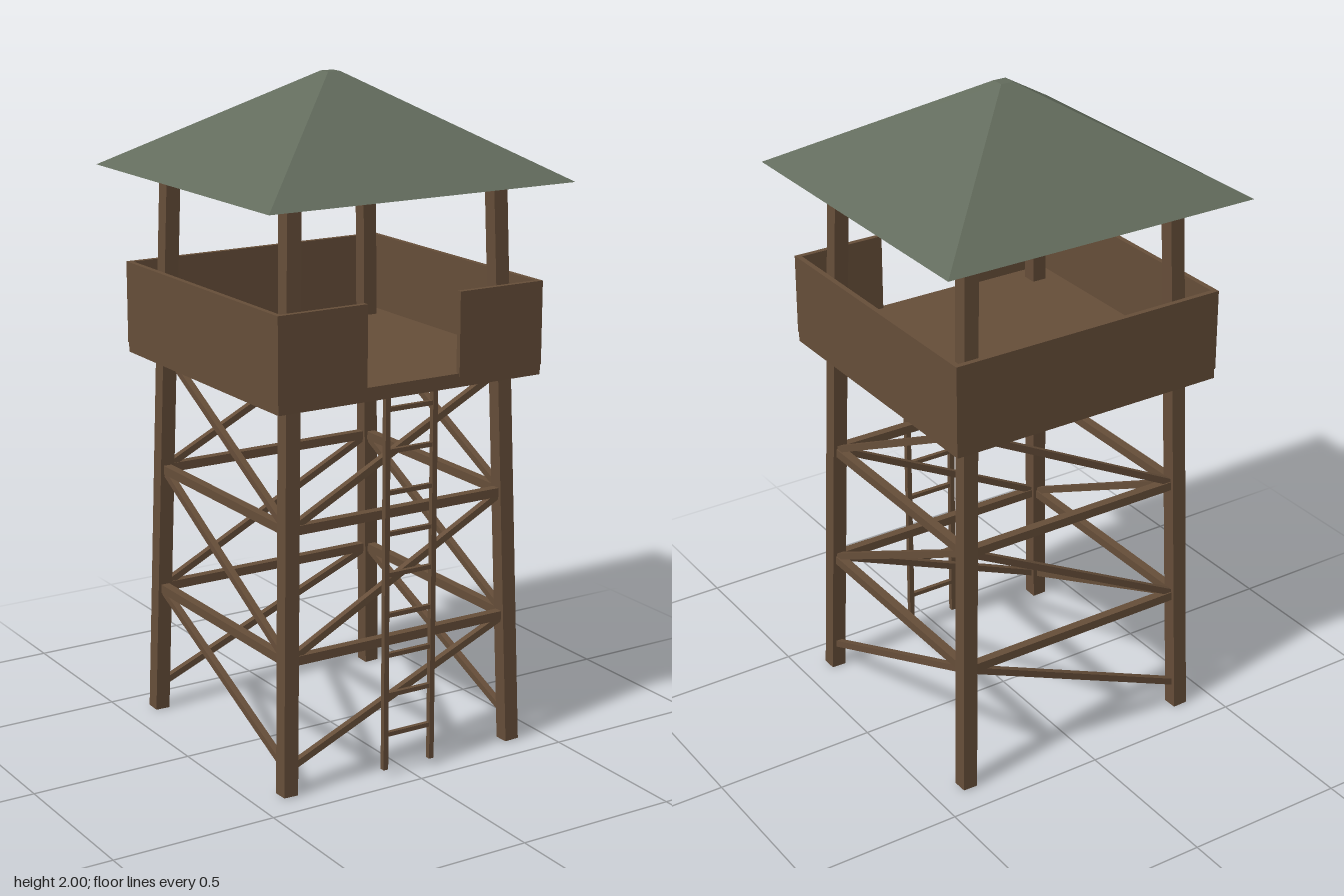
import * as THREE from 'three';

const wood = new THREE.MeshStandardMaterial({ color: 0x664e39 });
wood.name = 'brown wood';
const roofing = new THREE.MeshStandardMaterial({ color: 0x626b5c });
roofing.name = 'grey green roofing';

const V = (x, y, z) => new THREE.Vector3(x, y, z);

function box(name, w, h, d, x, y, z) {
  const m = new THREE.Mesh(new THREE.BoxGeometry(w, h, d), wood);
  m.name = name;
  m.position.set(x, y, z);
  return m;
}

// Square beam running from a to b
function beam(name, a, b, size) {
  const m = box(name, size, a.distanceTo(b), size, 0, 0, 0);
  m.position.copy(a).add(b).multiplyScalar(0.5);
  m.quaternion.setFromUnitVectors(V(0, 1, 0), b.clone().sub(a).normalize());
  return m;
}

// Point on the axis of a leaning leg at height y
function legPoint(sx, sz, y) {
  const r = 0.389 - 0.0275 * y;
  return V(sx * r, y, sz * r);
}

export function createModel() {
  const tower = new THREE.Group();
  tower.name = 'watchtower';

  // Four legs leaning inwards, up to the roof
  const legs = new THREE.Group();
  legs.name = 'legs';
  for (const sx of [-1, 1]) for (const sz of [-1, 1]) {
    legs.add(beam('leg', legPoint(sx, sz, 0.001), legPoint(sx, sz, 1.715), 0.046));
  }
  tower.add(legs);

  // Each side: start corner (low end of the diagonals) and end corner
  const braces = new THREE.Group();
  braces.name = 'braces';
  const sides = [
    [[-1, 1], [1, 1]], [[-1, -1], [1, -1]],
    [[1, 1], [1, -1]], [[-1, 1], [-1, -1]],
  ];
  const levels = [0.077, 0.4, 0.782, 1.15];
  for (const [a, b] of sides) {
    for (const y of [0.4, 0.782]) {
      braces.add(beam('crossBeam', legPoint(...a, y), legPoint(...b, y), 0.027));
    }
    for (let i = 0; i < 3; i++) {
      braces.add(beam('diagonalBrace', legPoint(...a, levels[i]), legPoint(...b, levels[i + 1]), 0.02));
    }
  }
  tower.add(braces);

  // Platform with a parapet that is open in the middle of the front
  const platform = new THREE.Group();
  platform.name = 'platform';
  const half = 0.442, t = 0.016, low = 1.17, high = 1.417;
  const wallH = high - low, wallY = (high + low) / 2, off = half - t / 2;
  platform.add(box('deck', 0.88, 0.04, 0.88, 0, 1.16, 0));
  platform.add(box('backWall', half * 2, wallH, t, 0, wallY, -off));
  const gap = 0.155, frontW = half - gap;
  for (const s of [-1, 1]) {
    platform.add(box('sideWall', t, wallH, (half - t) * 2, s * off, wallY, 0));
    platform.add(box('frontWall', frontW, wallH, t, s * (gap + frontW / 2), wallY, off));
  }
  tower.add(platform);

  // Ladder
  const ladder = new THREE.Group();
  ladder.name = 'ladder';
  for (const s of [-1, 1]) {
    ladder.add(box('ladderRail', 0.016, 1.13, 0.016, s * 0.08, 0.585, 0.425));
  }
  for (let i = 0; i < 9; i++) {
    ladder.add(box('rung', 0.16, 0.013, 0.013, 0, 0.128 + i * 0.122, 0.425));
  }
  tower.add(ladder);

  // Hipped roof with a small flat top
  const shape = new THREE.CylinderGeometry(0.02 * Math.SQRT2, 0.503 * Math.SQRT2, 0.295, 4);
  shape.rotateY(Math.PI / 4);
  const flat = shape.toNonIndexed();
  flat.computeVertexNormals();
  const roof = new THREE.Mesh(flat, roofing);
  roof.name = 'roof';
  roof.position.y = 1.8525;
  tower.add(roof);

  return tower;
}
